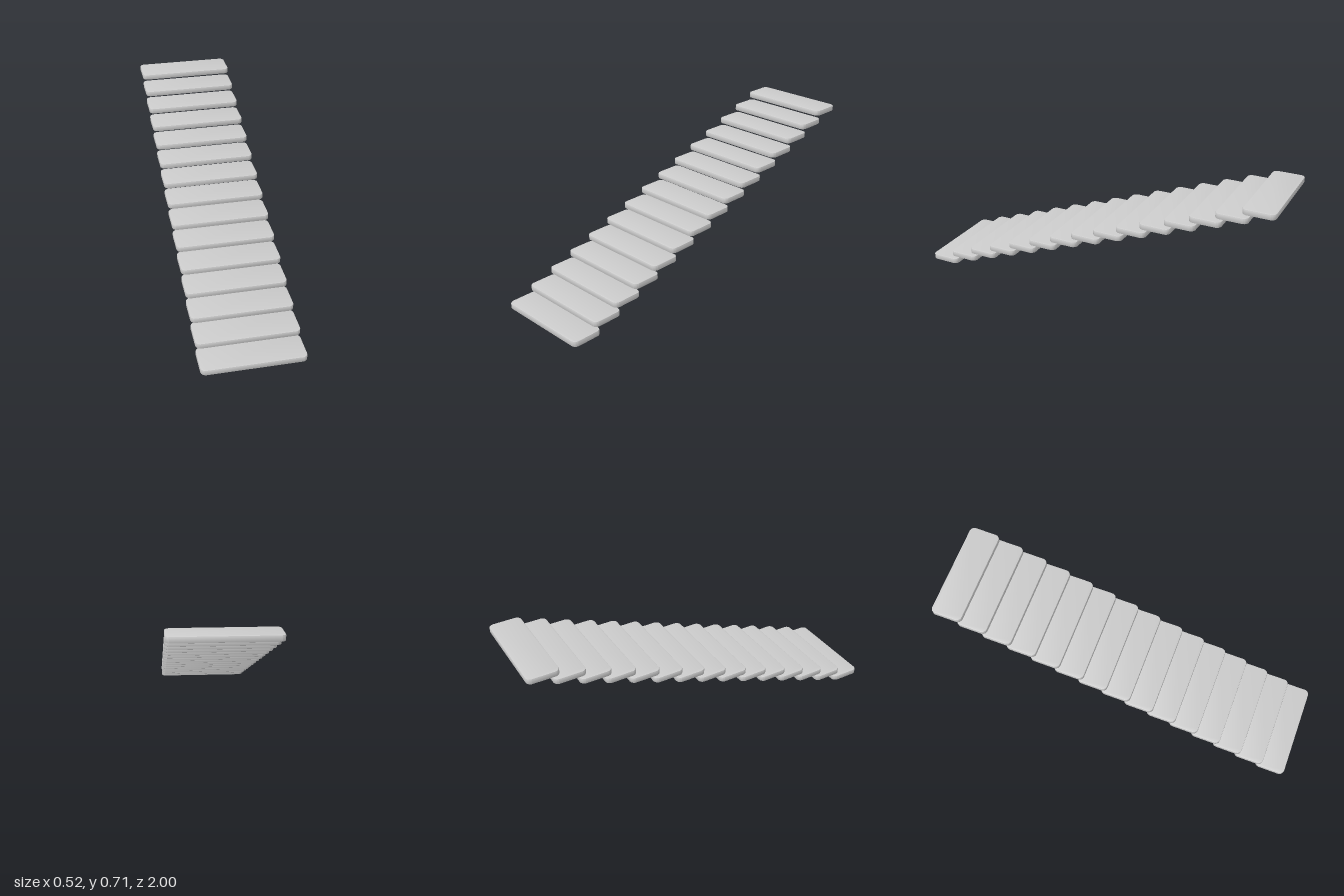
import * as THREE from 'three';
import { toCreasedNormals } from 'three/addons/utils/BufferGeometryUtils.js';

const COUNT = 15;
const WIDTH = 0.52, DEPTH = 0.166, THICK = 0.03;
const RISE = 0.0488, RUN = (2 - DEPTH) / (COUNT - 1);
const BEVEL = 0.004, RADIUS = 0.027;

// Flat slab with rounded plan corners and softened edges, resting on y = 0
function treadGeometry() {
  const x = WIDTH / 2 - BEVEL, y = DEPTH / 2 - BEVEL, r = RADIUS - BEVEL;
  const shape = new THREE.Shape();
  shape.absarc(x - r, y - r, r, 0, Math.PI / 2);
  shape.absarc(-x + r, y - r, r, Math.PI / 2, Math.PI);
  shape.absarc(-x + r, -y + r, r, Math.PI, Math.PI * 1.5);
  shape.absarc(x - r, -y + r, r, Math.PI * 1.5, Math.PI * 2);
  shape.closePath();
  const geometry = new THREE.ExtrudeGeometry(shape, {
    depth: THICK - 2 * BEVEL,
    bevelThickness: BEVEL,
    bevelSize: BEVEL,
    bevelSegments: 2,
    curveSegments: 6,
  });
  geometry.rotateX(-Math.PI / 2).translate(0, BEVEL, 0);
  return toCreasedNormals(geometry, Math.PI / 5);
}

export function createModel() {
  const stairs = new THREE.Group();
  stairs.name = 'floatingStairs';
  const geometry = treadGeometry();
  const material = new THREE.MeshStandardMaterial({ color: 0xcccccc });

  // Treads climb from the front towards the back
  for (let i = 0; i < COUNT; i++) {
    const tread = new THREE.Mesh(geometry, material);
    tread.name = `tread${i + 1}`;
    tread.position.set(0, i * RISE, 1 - DEPTH / 2 - i * RUN);
    stairs.add(tread);
  }
  return stairs;
}
